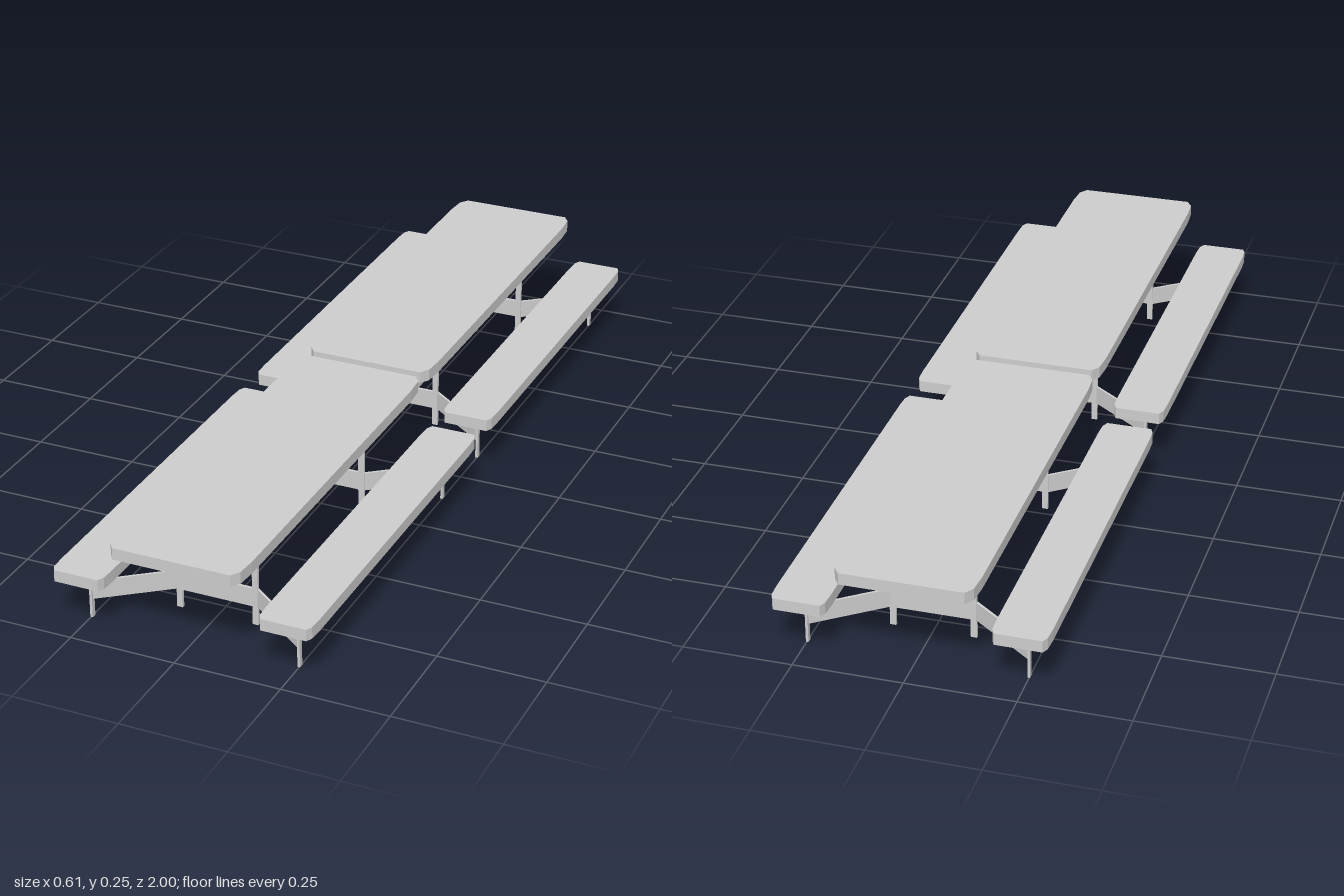
import * as THREE from 'three';

const steel = new THREE.MeshStandardMaterial({ color: 0xcccccc });
steel.name = 'light grey';

function add(parent, geometry, name, x = 0, y = 0, z = 0) {
  const mesh = new THREE.Mesh(geometry, steel);
  mesh.name = name;
  mesh.position.set(x, y, z);
  parent.add(mesh);
  return mesh;
}

// Horizontal board with clipped corners, bottom at y = 0; cut = [dx, dz] scale of the corner
function board(hx, hz, thickness, cx, cz) {
  const corner = [[hx, hz - cz], [hx - cx * 0.2, hz - cz * 0.3], [hx - cx, hz]];
  const back = [...corner].reverse();
  const outline = [
    ...corner,
    ...back.map(([x, z]) => [-x, z]),
    ...corner.map(([x, z]) => [-x, -z]),
    ...back.map(([x, z]) => [x, -z]),
  ].map(([x, z]) => new THREE.Vector2(x, z));
  const geometry = new THREE.ExtrudeGeometry(new THREE.Shape(outline), {
    depth: thickness, bevelEnabled: false,
  });
  return geometry.rotateX(-Math.PI / 2);
}

// One end frame; its braces splay outwards towards +z
function endFrame() {
  const frame = new THREE.Group();
  frame.name = 'endFrame';
  const tableZ = 0.2825, benchZ = 0.396, railY = 0.0675, railH = 0.045;

  add(frame, new THREE.BoxGeometry(0.172, railH, 0.007), 'crossRail', 0, railY, tableZ);
  for (const s of [-1, 1]) {
    add(frame, new THREE.BoxGeometry(0.014, 0.222, 0.007), 'tableLeg', s * 0.092, 0.111, tableZ);
    add(frame, new THREE.BoxGeometry(0.006, 0.115, 0.012), 'benchLeg', s * 0.249, 0.0575, benchZ);
    // Diagonal brace between the table leg and the bench leg
    const dx = 0.149, dz = benchZ - tableZ;
    const brace = add(frame, new THREE.BoxGeometry(Math.hypot(dx, dz), railH, 0.006), 'brace',
      s * (0.098 + dx / 2), railY, tableZ + dz / 2);
    brace.rotation.y = -s * Math.atan2(dz, dx);
  }
  return frame;
}

function picnicTable() {
  const table = new THREE.Group();
  table.name = 'picnicTable';
  add(table, board(0.156, 0.494, 0.028, 0.018, 0.07), 'tableTop', 0, 0.222, 0);
  for (const s of [-1, 1]) {
    add(table, board(0.062, 0.4675, 0.028, 0.009, 0.05), 'benchSeat', s * 0.245, 0.115, 0);
    const frame = endFrame();
    frame.rotation.y = s > 0 ? 0 : Math.PI;
    table.add(frame);
  }
  // Long bar joining the two end frames
  add(table, new THREE.BoxGeometry(0.045, 0.017, 0.56), 'stretcher', 0, 0.0665, 0);
  return table;
}

export function createModel() {
  const model = new THREE.Group();
  model.name = 'picnicTables';
  for (const z of [-0.506, 0.506]) {
    const table = picnicTable();
    table.position.z = z;
    model.add(table);
  }
  return model;
}
